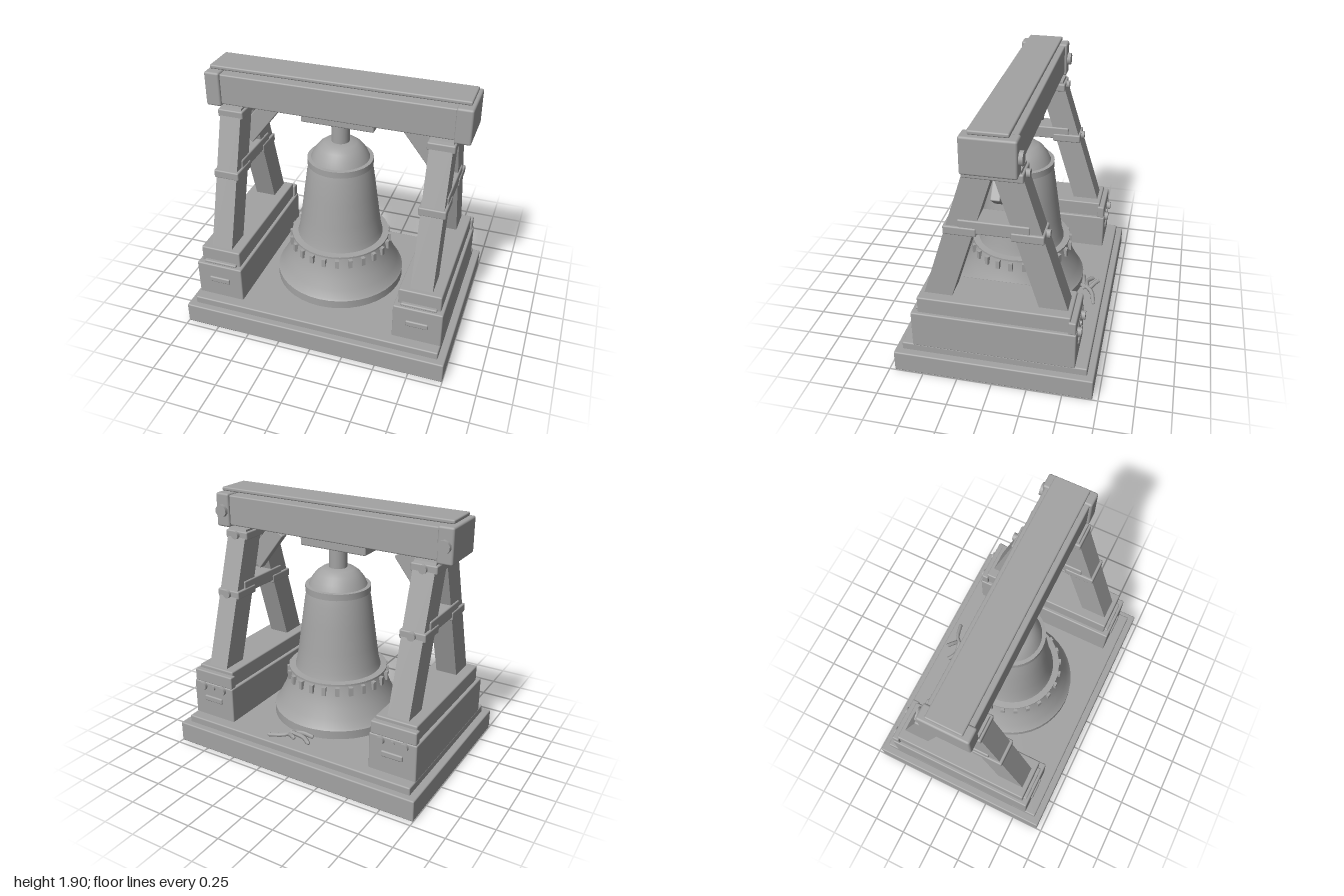
import * as THREE from 'three';
import { RoundedBoxGeometry } from 'three/addons/geometries/RoundedBoxGeometry.js';
import { toCreasedNormals } from 'three/addons/utils/BufferGeometryUtils.js';

const stone = new THREE.MeshStandardMaterial({ color: 0xa3a3a3 });
stone.name = 'plain grey';

function add(parent, name, geometry, x = 0, y = 0, z = 0) {
  const mesh = new THREE.Mesh(geometry, stone);
  mesh.name = name;
  mesh.position.set(x, y, z);
  parent.add(mesh);
  return mesh;
}

// Soft-edged box given by its extents on each axis
function block(parent, name, [x0, x1], [y0, y1], [z0, z1], r = 0.01) {
  const w = x1 - x0, h = y1 - y0, d = z1 - z0;
  const radius = Math.min(r, Math.min(w, h, d) * 0.4);
  return add(parent, name, new RoundedBoxGeometry(w, h, d, 2, radius),
    (x0 + x1) / 2, (y0 + y1) / 2, (z0 + z1) / 2);
}

// Bolt head whose axis runs along z
function bolt(parent, x, y, z, r, depth = 0.04) {
  const geo = new THREE.CylinderGeometry(r, r, depth, 10).rotateX(Math.PI / 2);
  return add(parent, 'bolt', geo, x, y, z);
}

function slantedLeg() {
  const s = new THREE.Shape([[0.305, 0.6], [0.503, 0.6], [0.18, 1.62], [-0.012, 1.62]]
    .map(([z, y]) => new THREE.Vector2(z, y)));
  return new THREE.ExtrudeGeometry(s, { depth: 0.16, bevelEnabled: false })
    .translate(0, 0, -0.08).rotateY(-Math.PI / 2);
}

// One side support, centred on its own x = 0; inward is the direction of the bell
function buildTrestle(inward) {
  const g = new THREE.Group();
  block(g, 'pedestal', [-0.18, 0.18], [0.205, 0.49], [-0.575, 0.58]);
  block(g, 'pedestalTop', [-0.155, 0.155], [0.48, 0.61], [-0.53, 0.535]);
  block(g, 'backPlate', [-0.172, 0.172], [0.485, 0.583], [-0.57, -0.515]);
  block(g, 'frontStrip', [-0.13, 0.13], [0.485, 0.508], [0.52, 0.56]);
  for (const z of [0.58, -0.575])
    block(g, 'handle', [-0.082, 0.082], [0.34, 0.385], [z - 0.012, z + 0.012]);
  for (const x of [-0.09, 0.09]) bolt(g, x, 0.46, -0.58, 0.032);
  bolt(g, 0, 0.46, -0.575, 0.018, 0.025);

  // A-frame legs, their clamps and the cross tie
  const leg = slantedLeg();
  add(g, 'frontLeg', leg);
  add(g, 'backLeg', leg).rotation.y = Math.PI;
  block(g, 'frontClamp', [-0.097, 0.097], [1.115, 1.178], [0.115, 0.34]);
  block(g, 'backClamp', [-0.097, 0.097], [1.115, 1.178], [-0.335, -0.115]);
  block(g, 'crossTie', [-0.09, 0.09], [1.135, 1.232], [-0.24, 0.24]);
  block(g, 'legCap', [-0.097, 0.097], [1.545, 1.605], [-0.2, 0.2]);
  bolt(g, 0, 1.15, -0.34, 0.03);
  bolt(g, 0, 1.575, -0.205, 0.03);

  // Diagonal brace under the beam
  const brace = add(g, 'brace', new RoundedBoxGeometry(0.14, 0.36, 0.066, 2, 0.008),
    inward * 0.135, 1.465, 0);
  brace.rotation.z = -inward * Math.atan2(0.22, 0.285);
  return g;
}

function buildBell() {
  const g = new THREE.Group();
  g.name = 'bell';
  const profile = [
    [0, 0.245], [0.488, 0.245], [0.488, 0.31], [0.475, 0.325], [0.445, 0.38], [0.41, 0.45],
    [0.375, 0.54], [0.36, 0.61], [0.372, 0.614], [0.372, 0.628], [0.325, 0.632],
    [0.312, 0.68], [0.292, 0.82], [0.268, 1.0], [0.245, 1.17], [0.232, 1.225],
    [0.242, 1.225], [0.242, 1.273], [0.215, 1.275], [0.195, 1.32], [0.16, 1.365],
    [0.12, 1.395], [0.065, 1.405], [0, 1.405],
  ].map(([r, y]) => new THREE.Vector2(r, y));
  add(g, 'bellBody', toCreasedNormals(new THREE.LatheGeometry(profile, 40), 0.5));
  add(g, 'hangerPin', new THREE.CylinderGeometry(0.067, 0.067, 0.16, 24), 0, 1.475, 0);

  // Ring of small studs above the flare
  const stud = new THREE.BoxGeometry(0.03, 0.064, 0.04);
  for (let i = 0; i < 24; i++) {
    const a = i * Math.PI / 12;
    add(g, 'stud', stud, Math.sin(a) * 0.37, 0.572, Math.cos(a) * 0.37).rotation.y = a;
  }
  return g;
}

// Small broken twigs lying behind the bell
function buildTwigs() {
  const g = new THREE.Group();
  g.name = 'twigs';
  const paths = [
    [[0.23, 0.235, -0.605], [0.12, 0.25, -0.575], [0.07, 0.26, -0.52], [0.05, 0.25, -0.47]],
    [[-0.08, 0.235, -0.56], [-0.02, 0.245, -0.525], [0.08, 0.265, -0.535]],
    [[-0.07, 0.25, -0.49], [0, 0.265, -0.5], [0.08, 0.25, -0.51]],
    [[0.09, 0.25, -0.55], [0.05, 0.27, -0.58], [0.01, 0.28, -0.61]],
  ];
  for (const p of paths) {
    const curve = new THREE.CatmullRomCurve3(p.map(v => new THREE.Vector3(...v)));
    add(g, 'twig', new THREE.TubeGeometry(curve, 6, 0.017, 6));
    for (const end of [p[0], p[p.length - 1]])
      add(g, 'twigEnd', new THREE.IcosahedronGeometry(0.017, 0), ...end);
  }
  return g;
}

export function createModel() {
  const model = new THREE.Group();
  model.name = 'bellStand';

  // Stepped base
  block(model, 'baseSlab', [-1, 1], [0, 0.16], [-0.71, 0.71]);
  block(model, 'baseStep', [-0.945, 0.945], [0.15, 0.215], [-0.66, 0.66]);

  // Side supports with the beam's end caps
  for (const s of [-1, 1]) {
    const trestle = buildTrestle(-s);
    trestle.name = s > 0 ? 'leftTrestle' : 'rightTrestle';
    trestle.position.x = s * 0.765;
    model.add(trestle);
    const ends = s > 0 ? [0.84, 0.955] : [-0.955, -0.84];
    block(model, 'beamEndCap', ends, [1.615, 1.87], [-0.183, 0.183], 0.015);
    bolt(model, s * 0.895, 1.74, -0.19, 0.048);
  }

  // Top beam, cover plate and hanger
  block(model, 'beam', [-0.9, 0.9], [1.63, 1.857], [-0.165, 0.165]);
  block(model, 'beamCover', [-0.932, 0.932], [1.876, 1.905], [-0.13, 0.13]);
  block(model, 'hangerBlock', [-0.27, 0.27], [1.545, 1.64], [-0.085, 0.085]);

  model.add(buildBell(), buildTwigs());
  return model;
}
